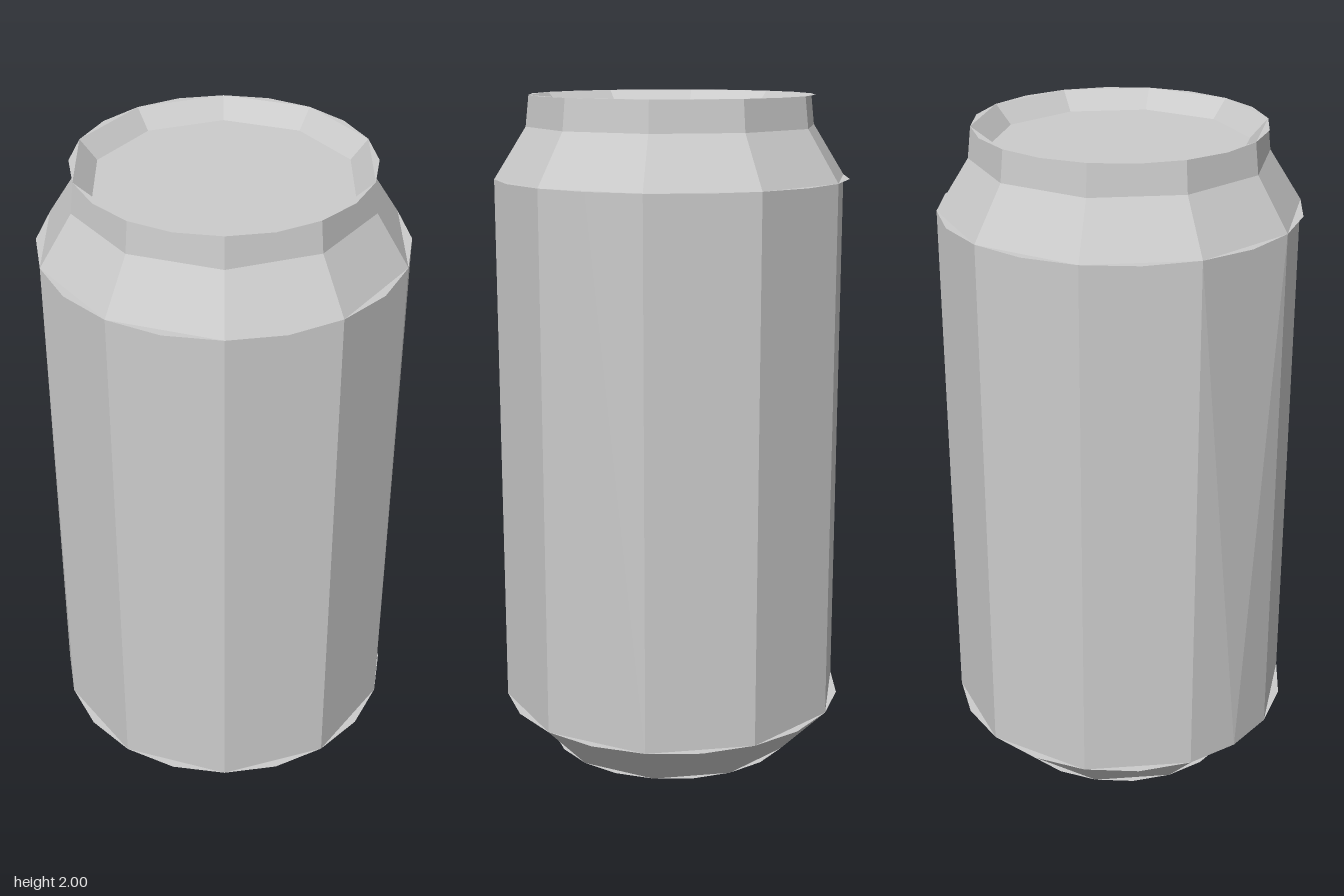
import * as THREE from 'three';

const SIDES = 10;
const STEP = (Math.PI * 2) / SIDES;
const BODY_R = 0.525, BODY_LOW = 0.15, BODY_HIGH = 1.76;

const material = new THREE.MeshStandardMaterial({
  color: 0xcccccc, flatShading: true, side: THREE.DoubleSide,
});

// Corner of a ring; k counts faces around from the front (+z)
const corner = (r, y, k) => [r * Math.sin(k * STEP), y, r * Math.cos(k * STEP)];

function triangles(list) {
  const geometry = new THREE.BufferGeometry();
  geometry.setAttribute('position', new THREE.Float32BufferAttribute(list.flat(2), 3));
  geometry.computeVertexNormals();
  return geometry;
}

export function createModel() {
  const group = new THREE.Group();
  const add = (name, geometry, y = 0) => {
    const mesh = new THREE.Mesh(geometry, material);
    mesh.name = name;
    mesh.position.y = y;
    group.add(mesh);
    return mesh;
  };

  // Ten-sided wall between two heights
  const wall = (name, r0, y0, r1, y1) =>
    add(name, new THREE.CylinderGeometry(r1, r0, y1 - y0, SIDES, 1, true), (y0 + y1) / 2);

  // Thin points that round a ten-sided rim out to twenty sides
  const rim = (name, r, y) => {
    const list = [];
    for (let k = 0; k < SIDES; k++) {
      list.push([corner(r, y, k), corner(r, y, k + 0.5), corner(r, y, k + 1)]);
    }
    add(name, triangles(list));
  };

  wall('lowerBevel', 0.38, 0, BODY_R, BODY_LOW);
  wall('body', BODY_R, BODY_LOW, BODY_R, BODY_HIGH);
  wall('shoulder', BODY_R, BODY_HIGH, 0.43, 1.91);
  wall('neck', 0.43, 1.91, 0.42, 2);
  wall('innerLip', 0.37, 1.945, 0.42, 2);

  rim('lowerRim', BODY_R, BODY_LOW);
  rim('shoulderRim', BODY_R, BODY_HIGH);
  rim('topRim', 0.42, 2);

  // Flat ends
  add('lid', new THREE.CircleGeometry(0.37, SIDES).rotateX(-Math.PI / 2).rotateY(Math.PI / 2), 1.945);
  add('base', new THREE.CircleGeometry(0.38, SIDES * 2).rotateX(Math.PI / 2), 0);

  // Side panels lean out to a rim point: at the top on the left, at the bottom on the right
  const mid = (BODY_LOW + BODY_HIGH) / 2, half = mid - BODY_LOW;
  const a = corner(BODY_R, -half, 2), b = corner(BODY_R, -half, 3);
  const a1 = corner(BODY_R, half, 2), b1 = corner(BODY_R, half, 3);
  const tip = corner(BODY_R, half, 2.5);
  const panel = triangles([[a, b, tip], [a, tip, a1], [b, b1, tip]]);
  add('leftPanel', panel, mid);
  add('rightPanel', panel, mid).rotation.z = Math.PI;

  return group;
}
